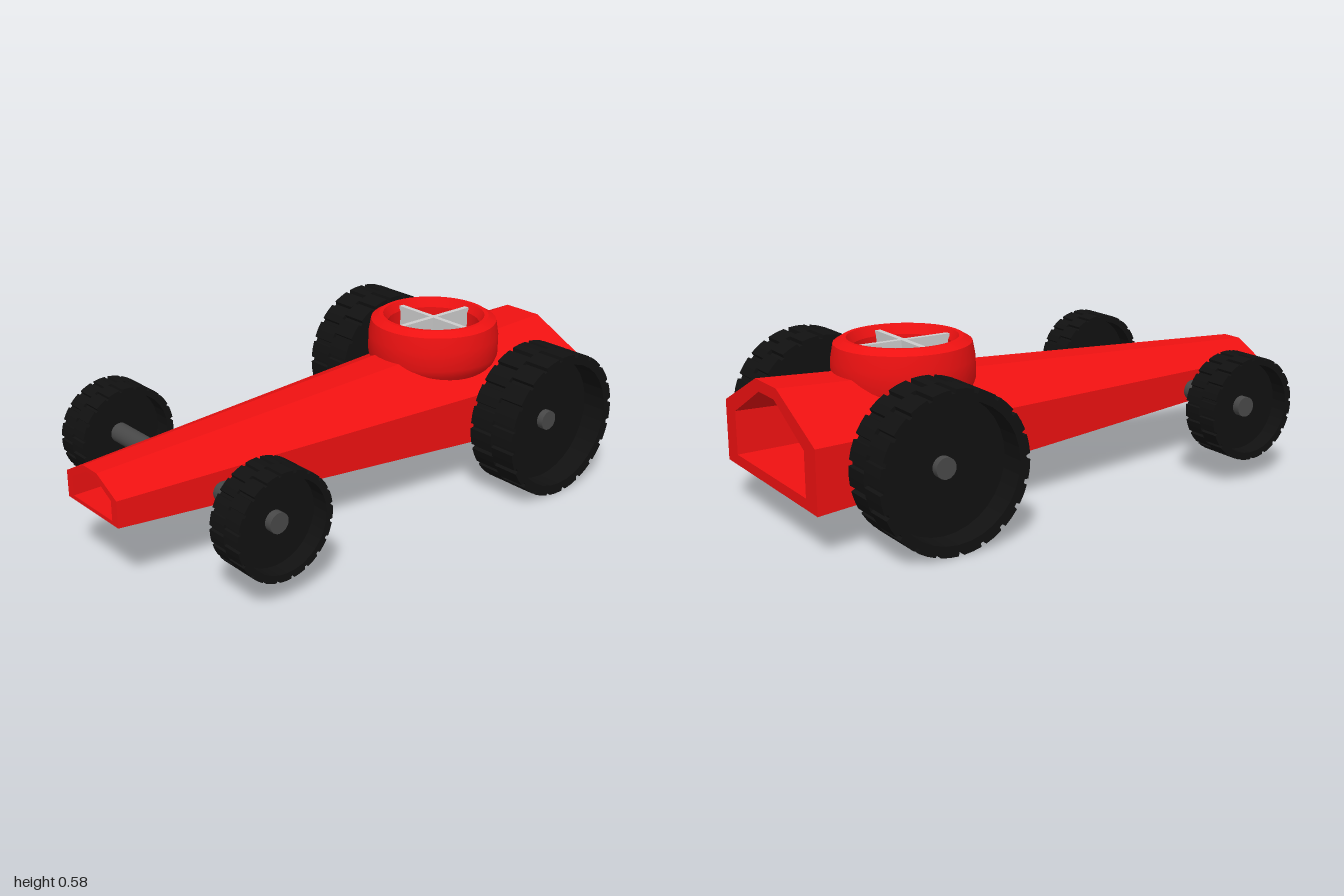
import * as THREE from 'three';
import { toCreasedNormals } from 'three/addons/utils/BufferGeometryUtils.js';

const red = new THREE.MeshStandardMaterial({ color: 0xee1111, flatShading: true, side: THREE.DoubleSide });
const smoothRed = new THREE.MeshStandardMaterial({ color: 0xee1111 });
const black = new THREE.MeshStandardMaterial({ color: 0x111111 });
const darkGrey = new THREE.MeshStandardMaterial({ color: 0x484848 });
const grey = new THREE.MeshStandardMaterial({ color: 0xcccccc });

const AXLE_Y = 0.268;
const POD_Z = -0.5, HOLE_R = 0.178;

function add(parent, name, geometry, material) {
  const mesh = new THREE.Mesh(geometry, material);
  mesh.name = name;
  parent.add(mesh);
  return mesh;
}

// Half section: b = side half width, t = ridge half width, y0 floor, y1 shoulder, y2 ridge
const OUTER = { front: { b: 0.15, t: 0.04, y0: 0.243, y1: 0.337, y2: 0.393 },
                rear: { b: 0.347, t: 0.08, y0: 0.145, y1: 0.36, y2: 0.49 } };
const INNER = { front: { b: 0.117, t: 0.025, y0: 0.257, y1: 0.327, y2: 0.376 },
                rear: { b: 0.268, t: 0.058, y0: 0.182, y1: 0.336, y2: 0.45 } };

function section(shell, z) {
  const s = {}, k = (1 - z) / 2;
  for (const key in shell.front) s[key] = THREE.MathUtils.lerp(shell.front[key], shell.rear[key], k);
  return s;
}

function corners(shell, z) {
  const { b, t, y0, y1, y2 } = section(shell, z);
  return [[-b, y0, z], [b, y0, z], [b, y1, z], [t, y2, z], [-t, y2, z], [-b, y1, z]];
}

// Point on the roof at plan position x, z
function roofPoint(shell, x, z) {
  const { b, t, y1, y2 } = section(shell, z);
  const k = Math.max(0, (Math.abs(x) - t) / (b - t));
  return [x, y2 + (y1 - y2) * k, z];
}

function createBody() {
  const positions = [];
  const quad = (a, b, c, d, flip) => positions.push(...(flip ? [a, c, b, a, d, c] : [a, b, c, a, c, d]).flat());

  for (const shell of [OUTER, INNER]) {
    const inward = shell === INNER;
    const f = corners(shell, 1), r = corners(shell, -1);
    // Floor and side walls
    for (const i of [0, 1, 5]) {
      const j = (i + 1) % 6;
      quad(f[i], r[i], r[j], f[j], inward);
    }
    // Where the ridge lines meet the cockpit hole
    const meet = [1, -1].map((dir) => {
      let z = POD_Z;
      for (let n = 0; n < 12; n++) z = POD_Z + dir * Math.sqrt(HOLE_R ** 2 - section(shell, z).t ** 2);
      return z;
    });
    // Sloping roof panels, notched by the hole
    const N = 20, zs = [1];
    for (let n = 0; n <= N; n++) zs.push(THREE.MathUtils.lerp(meet[0], meet[1], n / N));
    zs.push(-1);
    for (const side of [1, -1]) {
      const rows = zs.map((z) => {
        const { b, t } = section(shell, z);
        const notch = Math.sqrt(Math.max(0, HOLE_R ** 2 - (z - POD_Z) ** 2));
        return [roofPoint(shell, side * Math.max(t, notch), z), roofPoint(shell, side * b, z)];
      });
      for (let i = 0; i + 1 < rows.length; i++)
        quad(rows[i][0], rows[i][1], rows[i + 1][1], rows[i + 1][0], (side < 0) !== inward);
    }
    // Flat ridge ahead of and behind the hole
    [1, -1].forEach((end, e) => {
      const edge = section(shell, end).t, arc = section(shell, meet[e]).t;
      for (let n = 0; n < 8; n++) {
        const [u, v] = [n / 4 - 1, (n + 1) / 4 - 1];
        const onArc = (w) => roofPoint(shell, w * arc, POD_Z + end * Math.sqrt(HOLE_R ** 2 - (w * arc) ** 2));
        quad(roofPoint(shell, u * edge, end), roofPoint(shell, v * edge, end), onArc(v), onArc(u), (end < 0) !== inward);
      }
    });
  }
  // Rims joining the outer and inner shells at both ends
  for (const z of [1, -1]) {
    const o = corners(OUTER, z), n = corners(INNER, z);
    for (let i = 0; i < 6; i++) {
      const j = (i + 1) % 6;
      quad(o[i], o[j], n[j], n[i], z < 0);
    }
  }
  const geometry = new THREE.BufferGeometry();
  geometry.setAttribute('position', new THREE.Float32BufferAttribute(positions, 3));
  geometry.computeVertexNormals();
  return geometry;
}

// Toothed ring with its axis along z
function treadRing(radius, width, teeth, phase) {
  const shape = new THREE.Shape();
  const low = radius * 0.95, step = (Math.PI * 2) / teeth;
  const point = (r, a) => new THREE.Vector2(r * Math.cos(a), r * Math.sin(a));
  const outline = [];
  for (let i = 0; i < teeth; i++) {
    const a = (i + phase) * step;
    outline.push(point(radius, a), point(radius, a + step * 0.38), point(radius, a + step * 0.76),
      point(low, a + step * 0.8), point(low, a + step * 0.96));
  }
  shape.setFromPoints(outline);
  shape.holes.push(new THREE.Path().absarc(0, 0, radius * 0.86, 0, Math.PI * 2, true));
  return new THREE.ExtrudeGeometry(shape, { depth: width, bevelEnabled: false, curveSegments: 16 });
}

// Tyre of two staggered tread rows around a thin central web
function createWheel(name, radius, width) {
  const wheel = new THREE.Group();
  wheel.name = name;
  for (const row of [0, 1]) {
    const ring = add(wheel, 'treadRow', treadRing(radius, width / 2, 20, row / 2), black);
    ring.position.z = (row - 1) * width / 2;
  }
  const web = add(wheel, 'wheelWeb', new THREE.CylinderGeometry(radius * 0.88, radius * 0.88, 0.02, 40), black);
  web.rotation.x = Math.PI / 2;
  wheel.rotation.y = Math.PI / 2;
  return wheel;
}

export function createModel() {
  const model = new THREE.Group();
  model.name = 'racingCar';
  add(model, 'body', createBody(), red);

  // Round cockpit collar
  const profile = [[0.172, 0.39], [0.2, 0.37], [0.235, 0.412], [0.245, 0.44], [0.245, 0.51], [0.235, 0.565],
    [0.205, 0.583], [0.19, 0.583], [0.172, 0.55], [0.172, 0.39]].map(([x, y]) => new THREE.Vector2(x, y));
  const collar = add(model, 'cockpitCollar', toCreasedNormals(new THREE.LatheGeometry(profile, 40), 0.4), smoothRed);
  collar.position.z = POD_Z;

  // Crossed plates inside the collar
  for (const turn of [0, 1]) {
    const plate = add(model, 'crossPlate', new THREE.BoxGeometry(0.355, 0.14, 0.02), grey);
    plate.position.set(0, 0.5, POD_Z);
    plate.rotation.y = turn * Math.PI / 2;
  }

  // Axles and wheels
  const axles = [
    { end: 'front', z: 0.625, x: 0.4475, radius: 0.187, width: 0.145 },
    { end: 'rear', z: -0.625, x: 0.45, radius: 0.268, width: 0.2 },
  ];
  for (const { end, z, x, radius, width } of axles) {
    const axle = add(model, end + 'Axle', new THREE.CylinderGeometry(0.036, 0.036, 0.97, 24), darkGrey);
    axle.rotation.z = Math.PI / 2;
    axle.position.set(0, AXLE_Y, z);
    for (const side of [1, -1]) {
      const wheel = createWheel(end + (side > 0 ? 'LeftWheel' : 'RightWheel'), radius, width);
      wheel.position.set(side * x, AXLE_Y, z);
      model.add(wheel);
    }
  }
  return model;
}
